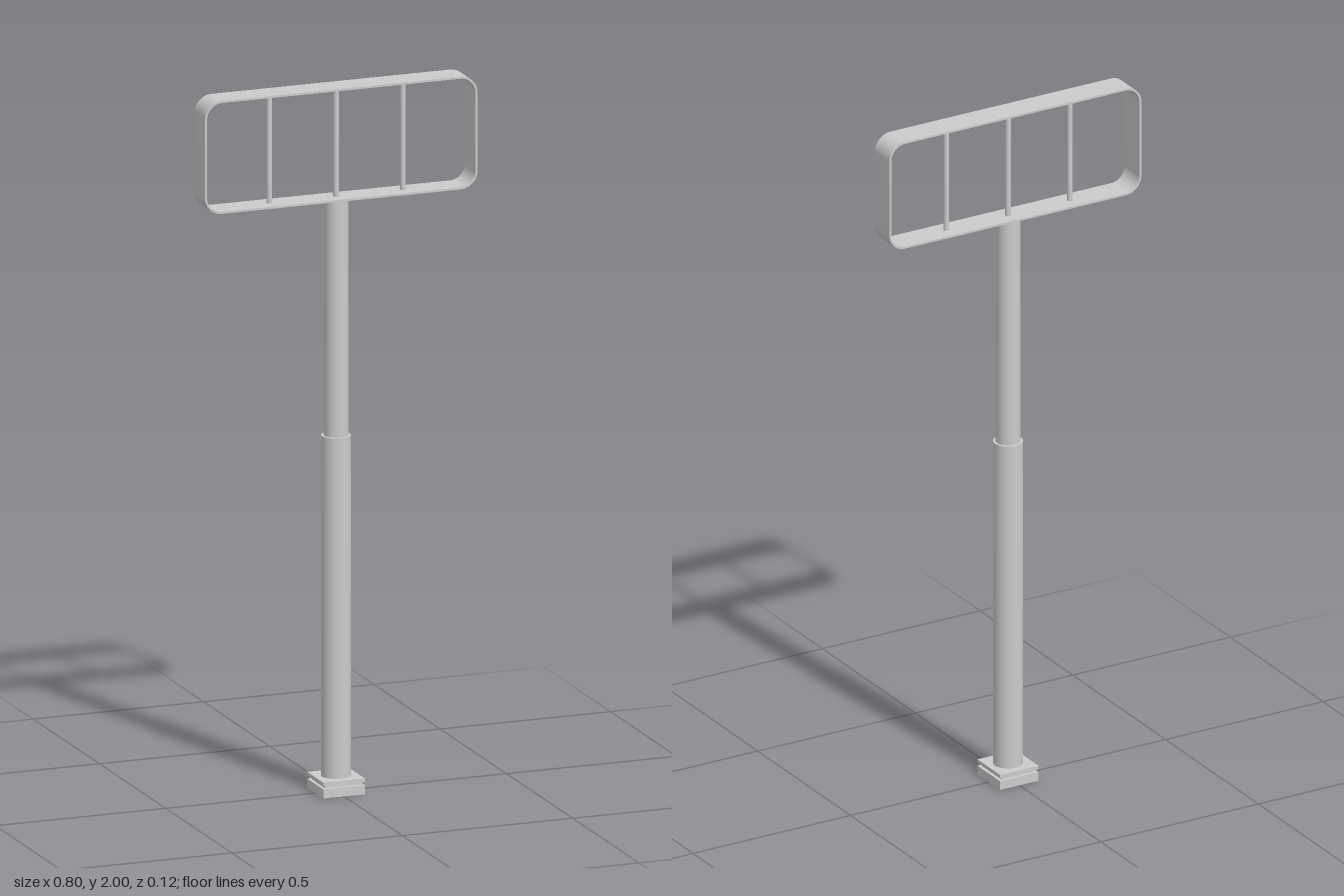
import * as THREE from 'three';

const metal = new THREE.MeshStandardMaterial({ color: 0xcccccc });
metal.name = 'light grey metal';

// Adds a named mesh to a group
function add(group, name, geometry, x = 0, y = 0, z = 0) {
  const mesh = new THREE.Mesh(geometry, metal);
  mesh.name = name;
  mesh.position.set(x, y, z);
  group.add(mesh);
  return mesh;
}

// Traces a centred rounded rectangle on a shape or path
function roundedRect(path, w, h, r) {
  const x = w / 2, y = h / 2;
  path.moveTo(-x + r, -y);
  path.lineTo(x - r, -y);
  path.absarc(x - r, -y + r, r, -Math.PI / 2, 0);
  path.lineTo(x, y - r);
  path.absarc(x - r, y - r, r, 0, Math.PI / 2);
  path.lineTo(-x + r, y);
  path.absarc(-x + r, y - r, r, Math.PI / 2, Math.PI);
  path.lineTo(-x, -y + r);
  path.absarc(-x + r, -y + r, r, Math.PI, Math.PI * 1.5);
  return path;
}

// Extruded rounded band, centred in depth
function bandGeometry(w, h, r, wall, depth) {
  const shape = roundedRect(new THREE.Shape(), w, h, r);
  shape.holes.push(roundedRect(new THREE.Path(), w - 2 * wall, h - 2 * wall, r - wall));
  return new THREE.ExtrudeGeometry(shape, { depth, bevelEnabled: false, curveSegments: 10 })
    .translate(0, 0, -depth / 2);
}

// Square collar with a square opening, lying flat
function collarGeometry(size, opening, height) {
  const s = size / 2, o = opening / 2;
  const square = (k) => [[-k, -k], [k, -k], [k, k], [-k, k]].map(([x, y]) => new THREE.Vector2(x, y));
  const shape = new THREE.Shape(square(s));
  shape.holes.push(new THREE.Path(square(o)));
  return new THREE.ExtrudeGeometry(shape, { depth: height, bevelEnabled: false })
    .rotateX(-Math.PI / 2);
}

export function createModel() {
  const model = new THREE.Group();
  model.name = 'signPost';

  // Stepped square foot: hollow collar, recessed neck and top plate
  const foot = new THREE.Group();
  foot.name = 'foot';
  add(foot, 'footCollar', collarGeometry(0.122, 0.082, 0.026));
  add(foot, 'footNeck', new THREE.BoxGeometry(0.104, 0.012, 0.104), 0, 0.03, 0);
  add(foot, 'footPlate', new THREE.BoxGeometry(0.122, 0.01, 0.122), 0, 0.04, 0);
  model.add(foot);

  // Telescoping pole
  add(model, 'lowerPole', new THREE.CylinderGeometry(0.041, 0.041, 0.965, 32), 0, 0.5275, 0);
  add(model, 'upperPole', new THREE.CylinderGeometry(0.034, 0.034, 0.675, 32), 0, 1.3445, 0);

  // Open rounded sign frame
  add(model, 'signFrame', bandGeometry(0.8, 0.32, 0.05, 0.006, 0.08), 0, 1.84, 0);

  // Upright bars inside the frame
  for (const x of [-0.196, 0, 0.196]) {
    add(model, 'uprightBar', new THREE.CylinderGeometry(0.008, 0.008, 0.312, 16), x, 1.84, 0);
  }
  return model;
}
